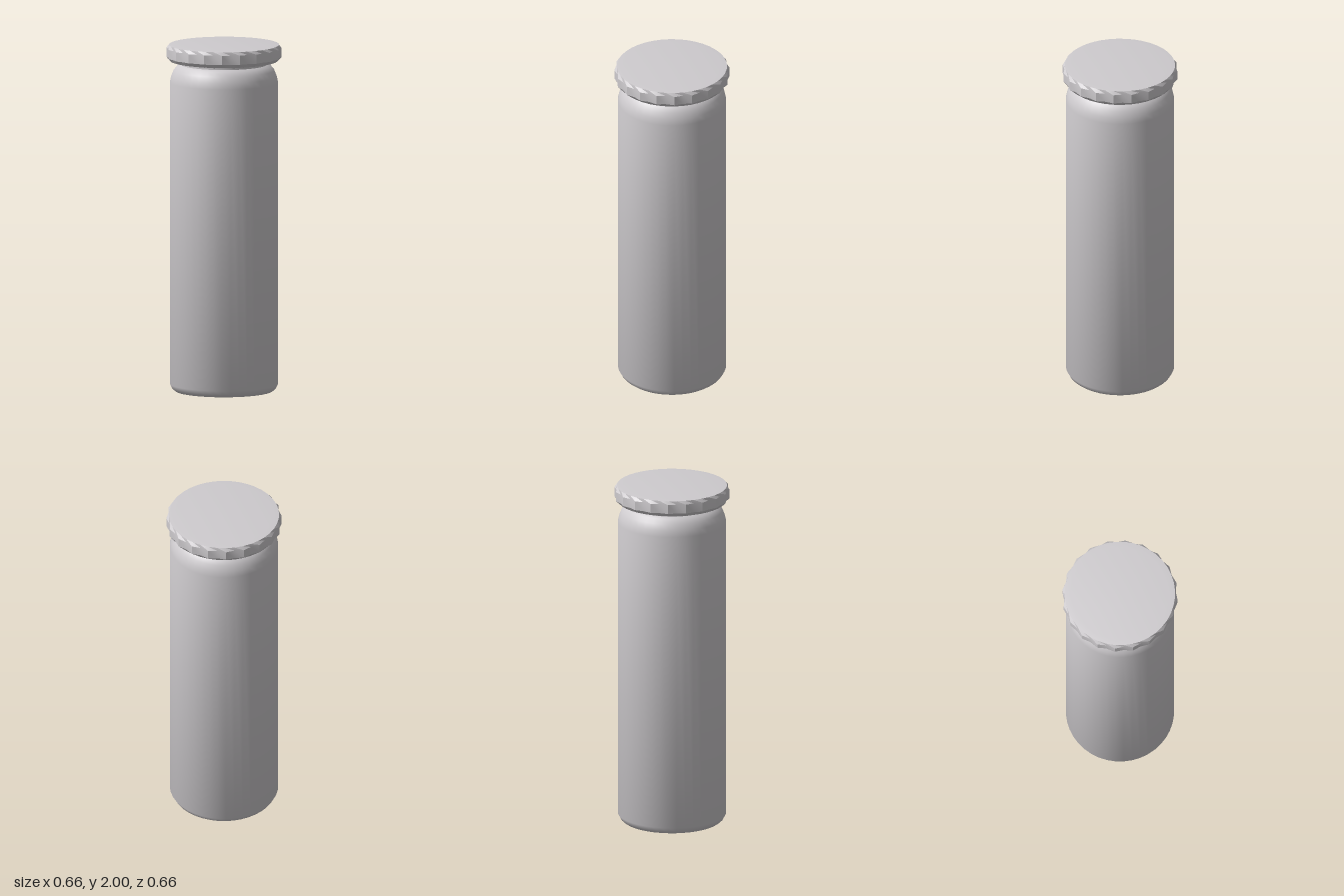
import * as THREE from 'three';
import { toCreasedNormals } from 'three/addons/utils/BufferGeometryUtils.js';

const SIDES = 40;

function lathe(points) {
  return new THREE.LatheGeometry(points.map(([r, y]) => new THREE.Vector2(r, y)), SIDES);
}

export function createModel() {
  const model = new THREE.Group();
  const grey = new THREE.MeshStandardMaterial({ color: 0xcecbce });
  grey.name = 'pale grey';

  function add(name, geometry, crease) {
    const mesh = new THREE.Mesh(toCreasedNormals(geometry, crease), grey);
    mesh.name = name;
    model.add(mesh);
  }

  // Cylindrical body with a bevelled foot, rounded shoulder and narrow neck
  add('body', lathe([
    [0, 0], [0.28, 0], [0.295, 0.012], [0.31, 0.04],
    [0.31, 1.78], [0.302, 1.815], [0.288, 1.85], [0.268, 1.875], [0.25, 1.885],
    [0.25, 1.915],
  ]), 0.6);

  // Collar just beneath the cap
  add('collar', lathe([[0.24, 1.893], [0.262, 1.897], [0.265, 1.92]]), 0.6);

  // Cap with fluted grip: every second column of the wide rings is pulled inwards
  const cap = lathe([
    [0, 1.905], [0.308, 1.905], [0.33, 1.925], [0.33, 1.978],
    [0.315, 1.997], [0.28, 2], [0, 2],
  ]);
  const p = cap.attributes.position;
  for (let i = 0; i < p.count; i++) {
    const x = p.getX(i), z = p.getZ(i);
    const column = Math.round(Math.atan2(x, z) / (2 * Math.PI / SIDES));
    if (Math.hypot(x, z) > 0.32 && column % 2 !== 0) {
      p.setX(i, x * 0.965);
      p.setZ(i, z * 0.965);
    }
  }
  add('cap', cap, 0.45);

  return model;
}
